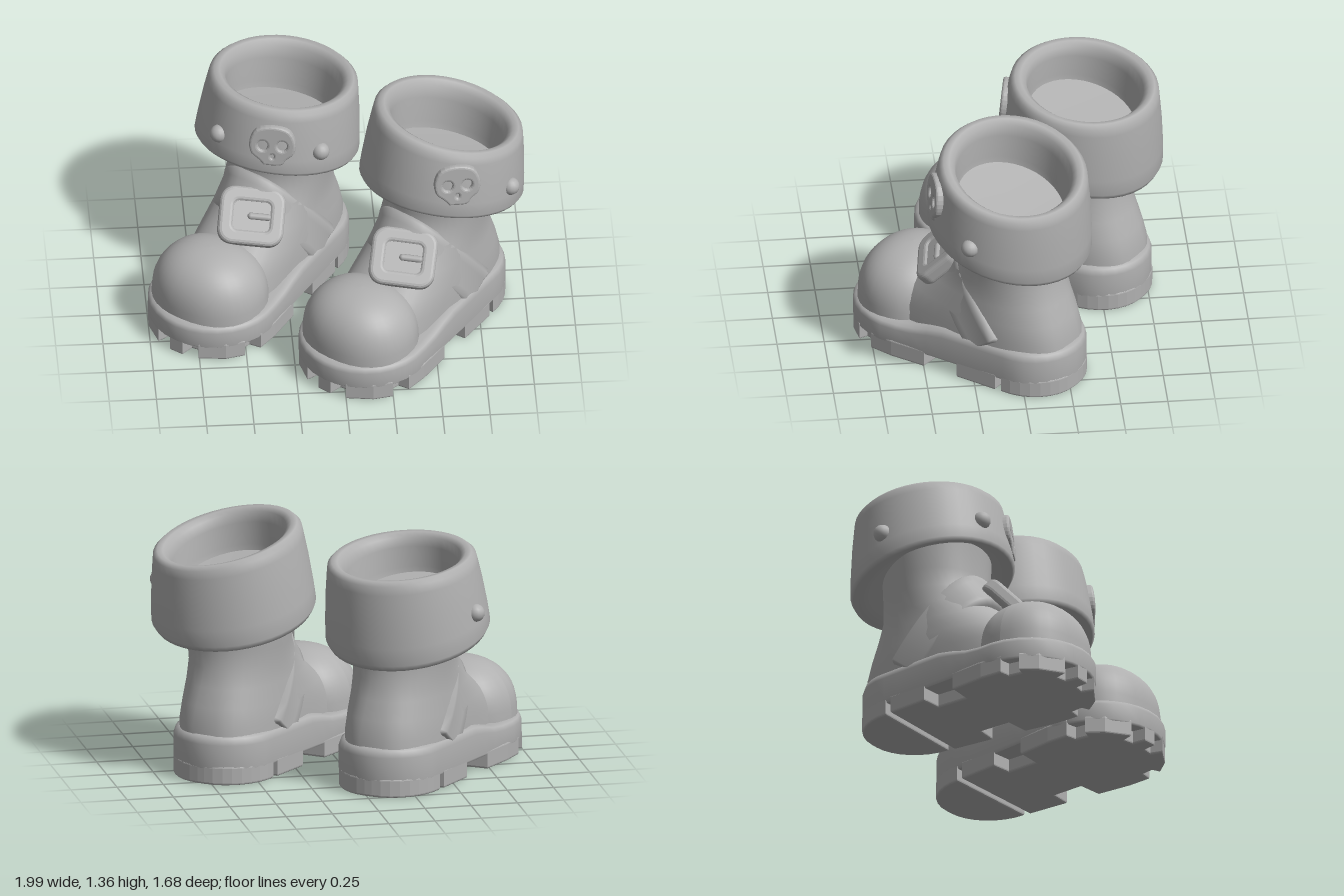
import * as THREE from 'three';

const grey = new THREE.MeshStandardMaterial({ color: 0xb0b0b0 });
grey.name = 'plain grey';

const named = (name, geo, pos = [0, 0, 0]) => {
  const m = new THREE.Mesh(geo, grey);
  m.name = name;
  m.position.set(...pos);
  return m;
};

// Skin closed rings of points; ends are closed with a fan when a centre is given
function loft(rings, startCentre, endCentre) {
  const n = rings[0].length, pos = rings.flat(2), idx = [];
  for (let i = 0; i < rings.length - 1; i++)
    for (let j = 0; j < n; j++) {
      const a = i * n + j, b = i * n + (j + 1) % n;
      idx.push(a, b, a + n, b, b + n, a + n);
    }
  const fan = (ring, centre, flip) => {
    const base = pos.length / 3;
    pos.push(...ring.flat(), ...centre);
    for (let j = 0; j < n; j++) {
      const a = base + j, b = base + (j + 1) % n;
      idx.push(flip ? b : a, flip ? a : b, base + n);
    }
  };
  if (startCentre) fan(rings[0], startCentre, true);
  if (endCentre) fan(rings[rings.length - 1], endCentre, false);
  const g = new THREE.BufferGeometry();
  g.setAttribute('position', new THREE.Float32BufferAttribute(pos, 3));
  g.setIndex(idx);
  g.computeVertexNormals();
  return g;
}

const ring = (n, f) => Array.from({ length: n }, (_, j) => f(j / n * Math.PI * 2));
const spow = (v, p) => Math.sign(v) * Math.abs(v) ** p;

// Sole: a small heel circle joined to a wide toe circle
function soleOutline(inset) {
  const pts = [], rt = 0.35 - inset, rh = 0.28 - inset, k = 14;
  for (let i = 0; i <= k; i++) {
    const a = -Math.PI / 2 + i / k * Math.PI;
    pts.push([Math.sin(a) * rt, 0.75 + Math.cos(a) * rt]);
  }
  const side = s => { for (let i = 1; i < 8; i++) {
    const t = s > 0 ? i / 8 : 1 - i / 8;
    pts.push([s * (rt + (rh - rt) * t), 0.75 * (1 - t)]);
  } };
  side(1);
  for (let i = 0; i <= k; i++) {
    const a = Math.PI / 2 + i / k * Math.PI;
    pts.push([Math.sin(a) * rh, Math.cos(a) * rh]);
  }
  side(-1);
  return pts;
}
const soleTop = z => 0.265 - 0.06 * THREE.MathUtils.smoothstep(z, 0.35, 0.65);

function soleGeometry() {
  const rings = [[0.01, 0], [0, 0.08], [0, 0.75], [0.012, 0.93], [0.04, 1], [0.1, 1]].map(([inset, f]) =>
    soleOutline(inset).map(([x, z]) => [x, 0.075 + (soleTop(z) - 0.075) * f, z]));
  return loft(rings, [0, 0.075, 0.4], [0, 0.22, 0.4]);
}

const bevelled = (shape, depth, b) => new THREE.ExtrudeGeometry(shape,
  { depth, bevelThickness: b, bevelSize: b, bevelOffset: -b, bevelSegments: 3, curveSegments: 8 });

// Tread blocks from a mirrored half outline
function treadGeometry(half) {
  const pts = [...half, ...half.slice().reverse().map(([x, z]) => [-x, z])];
  const shape = new THREE.Shape(pts.map(([x, z]) => new THREE.Vector2(x, -z)));
  return bevelled(shape, 0.08, 0.012).rotateX(-Math.PI / 2).translate(0, 0.012, 0);
}
const foreTread = [[0.02, 0.045], [0.285, 0.045], [0.305, 0.28], [0.19, 0.29], [0.19, 0.47], [0.325, 0.48],
  [0.347, 0.68], [0.345, 0.81], [0.28, 0.82], [0.27, 0.89], [0.315, 0.91], [0.25, 0.995], [0.13, 1.075],
  [0.11, 1.01], [0.05, 1.02], [0.04, 1.095]];
const heelTread = Array.from({ length: 9 }, (_, i) => {
  const a = i / 8 * Math.PI / 2;
  return [0.02 + 0.26 * Math.sin(a), 0.01 - 0.288 * Math.cos(a)];
});

// Upper: level sections given as height, back, front, half width, squareness
function upperGeometry() {
  const rows = [[0.18, -0.25, 0.92, 0.28, 2.7], [0.3, -0.245, 0.86, 0.28, 2.7], [0.4, -0.22, 0.74, 0.275, 2.5],
    [0.5, -0.185, 0.61, 0.265, 2.3], [0.6, -0.155, 0.5, 0.262, 2.1], [0.7, -0.148, 0.43, 0.272, 2],
    [0.8, -0.148, 0.42, 0.282, 2], [0.97, -0.17, 0.43, 0.3, 2]];
  return loft(rows.map(([y, b, f, w, e]) => ring(40, a =>
    [w * spow(Math.sin(a), 2 / e), y, (b + f) / 2 + (f - b) / 2 * spow(Math.cos(a), 2 / e)])), [0, 0.18, 0.3]);
}

// Toe cap: a squared dome
function toeCapGeometry() {
  const g = new THREE.SphereGeometry(1, 32, 14, 0, Math.PI * 2, 0, Math.PI / 2), p = g.attributes.position;
  for (let i = 0; i < p.count; i++)
    p.setXYZ(i, 0.315 * spow(p.getX(i), 0.92), 0.32 * p.getY(i) ** 0.74, 0.275 * spow(p.getZ(i), 0.92));
  g.computeVertexNormals();
  return g;
}

// Strap: a leaning arch over the instep
function strapGeometry() {
  const rows = [[-0.105, -0.05], [-0.115, 0], [-0.09, 0.022], [-0.055, 0.016], [0.055, 0.016], [0.09, 0.022],
    [0.115, 0], [0.105, -0.05]];
  return loft(rows.map(([w, d]) => ring(48, a => {
    const s = Math.sin(a);
    return [(0.272 + d) * spow(Math.cos(a), 0.85), (0.55 - 0.35 * w + d) * (s < 0 ? 0.08 * s : s ** 0.9), w];
  }))).rotateX(0.66);
}

function roundRect(P, w, h, r) {
  const p = new P();
  [[1, -1, -1], [1, 1, 0], [-1, 1, 1], [-1, -1, 2]].forEach(([sx, sy, q]) =>
    p.absarc(sx * (w / 2 - r), sy * (h / 2 - r), r, q * Math.PI / 2, (q + 1) * Math.PI / 2));
  return p;
}

function makeBuckle() {
  const g = new THREE.Group();
  g.name = 'buckle';
  const frame = roundRect(THREE.Shape, 0.35, 0.31, 0.08);
  frame.holes.push(roundRect(THREE.Path, 0.19, 0.15, 0.025));
  g.add(named('buckleFrame', bevelled(frame, 0.04, 0.022), [0, 0, -0.03]));
  g.add(named('buckleBack', new THREE.BoxGeometry(0.25, 0.22, 0.05), [0, 0, -0.005]));
  const prong = named('buckleProng', new THREE.CapsuleGeometry(0.018, 0.09, 4, 8), [0.04, 0, 0.02]);
  prong.rotation.z = Math.PI / 2;
  g.add(prong);
  g.position.set(0.095, 0.6, 0.54);
  g.lookAt(0.095 + 0.45, 0.6 + 0.69, 0.54 + 0.55);
  g.rotateZ(-0.14);
  return g;
}

// Skull badge with eye and nose holes
function skullGeometry() {
  const outline = new THREE.SplineCurve([[-0.045, -0.115], [0.045, -0.115], [0.075, -0.08], [0.115, -0.04], [0.122, 0.03],
    [0.085, 0.1], [0, 0.122], [-0.085, 0.1], [-0.122, 0.03], [-0.115, -0.04], [-0.075, -0.08], [-0.045, -0.115]]
    .map(p => new THREE.Vector2(...p)));
  const s = new THREE.Shape(outline.getPoints(36).slice(0, -1));
  for (const x of [-0.052, 0.052])
    s.holes.push(new THREE.Path().absellipse(x, 0.005, 0.026, 0.03, 0, Math.PI * 2, true));
  s.holes.push(new THREE.Path().absellipse(0, -0.06, 0.008, 0.012, 0, Math.PI * 2, true));
  return bevelled(s, 0.06, 0.014);
}

// Fold-over cuff with hollow top; slopes run along the boot and across it
function makeCuff({ x, top, topZ, topX, bottom, skull, skullUp, studs }) {
  const g = new THREE.Group();
  g.name = 'cuff';
  const height = (a, f) => {
    const lo = bottom + 0.105 * Math.cos(a), hi = top + topZ * Math.cos(a) + topX * Math.sin(a);
    return lo + (hi - lo) * f;
  };
  const profile = [[0.26, 0.2], [0.34, 0.07], [0.385, 0.01], [0.42, 0], [0.435, 0.06], [0.43, 0.25], [0.415, 0.6],
    [0.4, 0.85], [0.393, 0.95], [0.37, 1], [0.34, 0.995], [0.312, 0.94], [0.3, 0.8], [0.29, 0.5], [0.285, 0.42]];
  const centre = f => [0.02 * f, 0.135 - 0.04 * f];
  const onCuff = (a, f, r) => [centre(f)[0] + r * Math.sin(a), height(a, f), centre(f)[1] + r * Math.cos(a)];
  g.add(named('cuffBand', loft(profile.map(([r, f]) => ring(44, a => onCuff(a, f, r))),
    null, onCuff(Math.PI / 2, 0.42, 0))));
  const badge = named('skullBadge', skullGeometry(), onCuff(skull, skullUp, 0.36));
  badge.rotation.set(-0.1, skull, 0, 'YXZ');
  g.add(badge);
  for (const a of studs) g.add(named('stud', new THREE.SphereGeometry(0.048, 16, 10), onCuff(a, 0.38, 0.42)));
  g.position.x = x;
  return g;
}

function makeBoot(name, heel, turn, cuff) {
  const g = new THREE.Group();
  g.name = name;
  g.add(named('sole', soleGeometry()),
    named('foreTread', treadGeometry(foreTread)),
    named('heelTread', treadGeometry(heelTread)),
    named('upper', upperGeometry()),
    named('toeCap', toeCapGeometry(), [0, 0.19, 0.785]),
    named('strap', strapGeometry(), [0, 0.25, 0.14]),
    makeBuckle(), makeCuff(cuff));
  g.position.set(heel[0], 0, heel[1]);
  g.rotation.y = turn;
  return g;
}

export function createModel() {
  const model = new THREE.Group();
  model.name = 'boots';
  model.add(
    makeBoot('leftBoot', [0.62, -0.075], -0.73,
      { x: 0.03, top: 1.265, topZ: 0.08, topX: -0.045, bottom: 0.835, skull: 0.82, skullUp: 0.53, studs: [1.66] }),
    makeBoot('rightBoot', [-0.18, -0.5], -0.68,
      { x: -0.03, top: 1.23, topZ: 0.045, topX: -0.01, bottom: 0.805, skull: 0.52, skullUp: 0.46, studs: [1.16, -0.25, -1.6] }));
  return model;
}
